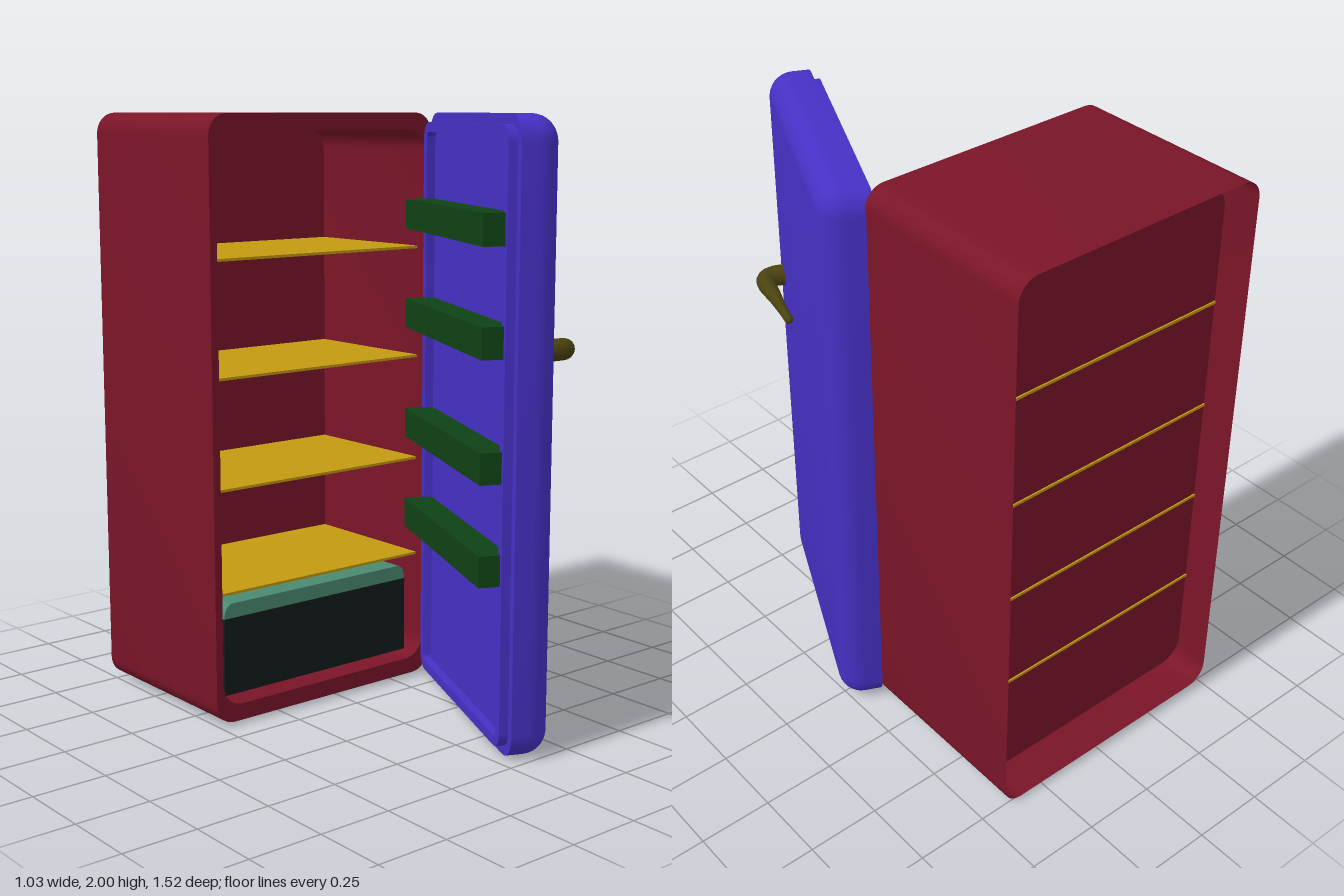
import * as THREE from 'three';
import { toCreasedNormals } from 'three/addons/utils/BufferGeometryUtils.js';

const mat = (color) => new THREE.MeshStandardMaterial({ color, side: THREE.DoubleSide });
const RED = mat(0x7a1528), BLUE = mat(0x4630c4), GREEN = mat(0x0f4214), YELLOW = mat(0xc49a12),
  OLIVE = mat(0x4a4210), DARK = mat(0x131c1b), TEAL = mat(0x4a8a70), LAMP = mat(0x0c10c8);

function add(parent, name, geometry, material, x = 0, y = 0, z = 0) {
  const mesh = new THREE.Mesh(geometry, material);
  mesh.name = name;
  mesh.position.set(x, y, z);
  parent.add(mesh);
  return mesh;
}

// Skin through rounded rectangles; each ring is [halfWidth, halfHeight, cornerRadius, z]
function skin(rings, capStart, capEnd) {
  const steps = 8, n = 4 * (steps + 1), pos = [], idx = [];
  for (const [w, h, r, z] of rings) {
    for (let c = 0; c < 4; c++) {
      const cx = (c === 0 || c === 3 ? 1 : -1) * (w - r), cy = (c < 2 ? 1 : -1) * (h - r);
      for (let s = 0; s <= steps; s++) {
        const a = (c + s / steps) * Math.PI / 2;
        pos.push(cx + r * Math.cos(a), cy + r * Math.sin(a), z);
      }
    }
  }
  for (let i = 0; i < rings.length - 1; i++) {
    for (let j = 0; j < n; j++) {
      const a = i * n + j, b = i * n + (j + 1) % n;
      idx.push(a, b, b + n, a, b + n, a + n);
    }
  }
  const cap = (ring, flip) => {
    const centre = pos.length / 3;
    pos.push(0, 0, rings[ring][3]);
    for (let j = 0; j < n; j++) {
      const a = ring * n + j, b = ring * n + (j + 1) % n;
      idx.push(centre, flip ? b : a, flip ? a : b);
    }
  };
  if (capStart) cap(0, true);
  if (capEnd) cap(rings.length - 1, false);
  const g = new THREE.BufferGeometry();
  g.setAttribute('position', new THREE.Float32BufferAttribute(pos, 3));
  g.setIndex(idx);
  return toCreasedNormals(g, 0.6);
}

function makeCabinet() {
  const cabinet = new THREE.Group();
  cabinet.name = 'cabinet';
  const cx = -0.05;
  // Outer shell, front rim and inner liner, open at the back behind the liner
  add(cabinet, 'cabinetShell', skin([
    [0.463, 0.995, 0.07, -0.762], [0.463, 0.995, 0.07, -0.1],
    [0.436, 0.938, 0.075, -0.1], [0.436, 0.938, 0.075, -0.66],
  ], false, true), RED, cx, 1.005, 0);

  // Shelves reach slightly through the liner back
  for (const y of [1.54, 1.157, 0.79, 0.44]) {
    add(cabinet, 'shelf', new THREE.BoxGeometry(0.87, 0.009, 0.53), YELLOW, cx, y, -0.4);
  }

  // Bottom drawer with a bevelled cover
  add(cabinet, 'drawer', new THREE.BoxGeometry(0.79, 0.265, 0.48), DARK, cx, 0.2175, -0.39);
  const lid = new THREE.Shape();
  lid.moveTo(-0.395, 0);
  lid.quadraticCurveTo(-0.39, 0.045, -0.365, 0.05);
  lid.lineTo(0.365, 0.05);
  lid.quadraticCurveTo(0.39, 0.045, 0.395, 0);
  lid.closePath();
  add(cabinet, 'drawerCover', new THREE.ExtrudeGeometry(lid, { depth: 0.48, bevelEnabled: false }),
    TEAL, cx, 0.35, -0.63);

  // Control box on the side wall, rounded on its free edges
  const box = new THREE.Shape();
  box.moveTo(0, -0.057);
  box.lineTo(0.03, -0.057);
  box.quadraticCurveTo(0.055, -0.057, 0.055, -0.03);
  box.lineTo(0.055, 0.03);
  box.quadraticCurveTo(0.055, 0.057, 0.03, 0.057);
  box.lineTo(0, 0.057);
  add(cabinet, 'controlBox', toCreasedNormals(
    new THREE.ExtrudeGeometry(box, { depth: 0.3, bevelEnabled: false }), 0.6), LAMP, -0.486, 1.697, -0.52);
  return cabinet;
}

// Tapered bent lever: a tube whose rings are shrunk along its length
function leverGeometry() {
  const path = new THREE.CatmullRomCurve3([
    [-0.524, 1.283, 0.44], [-0.524, 1.283, 0.505], [-0.505, 1.282, 0.532],
    [-0.4, 1.27, 0.517], [-0.28, 1.257, 0.495],
  ].map((p) => new THREE.Vector3(...p)));
  const segs = 32, sides = 16;
  const g = new THREE.TubeGeometry(path, segs, 0.036, sides);
  const p = g.attributes.position, v = new THREE.Vector3();
  for (let i = 0; i <= segs; i++) {
    const c = path.getPointAt(i / segs);
    const k = 1 - 0.58 * THREE.MathUtils.smoothstep(i / segs, 0.1, 1);
    for (let j = 0; j <= sides; j++) {
      const q = i * (sides + 1) + j;
      v.fromBufferAttribute(p, q).sub(c).multiplyScalar(k).add(c);
      p.setXYZ(q, v.x, v.y, v.z);
    }
  }
  g.computeVertexNormals();
  return g;
}

function makeDoor() {
  const door = new THREE.Group();
  door.name = 'door';
  // Recessed inner face, raised gasket frame, step, then the rounded outer edge
  const w = 0.46, h = 1, r = 0.085, round = 0.08;
  const ring = (inset, z) => [w - inset, h - inset, Math.max(r - inset, 0.01), z];
  const rings = [ring(0.065, 0.33), ring(0.065, 0.3), ring(0.032, 0.3), ring(0.032, 0.33), ring(0, 0.33)];
  for (let i = 0; i <= 8; i++) {
    const a = i / 8 * Math.PI / 2;
    rings.push(ring(round * (1 - Math.cos(a)), 0.468 - round * (1 - Math.sin(a))));
  }
  add(door, 'doorPanel', skin(rings, true, true), BLUE, -0.185, 1, 0);

  // Door racks
  for (const y of [1.66, 1.32, 0.935, 0.612]) {
    add(door, 'doorRack', new THREE.BoxGeometry(0.817, 0.1, 0.099), GREEN, -0.19, y, 0.2795);
  }

  // Handle with a rounded tip
  add(door, 'handle', leverGeometry(), OLIVE);
  add(door, 'handleTip', new THREE.SphereGeometry(0.0152, 16, 12), OLIVE, -0.28, 1.257, 0.495);

  // Swung open
  door.rotation.y = THREE.MathUtils.degToRad(65);
  return door;
}

export function createModel() {
  const model = new THREE.Group();
  model.name = 'refrigerator';
  model.add(makeCabinet(), makeDoor());
  return model;
}
